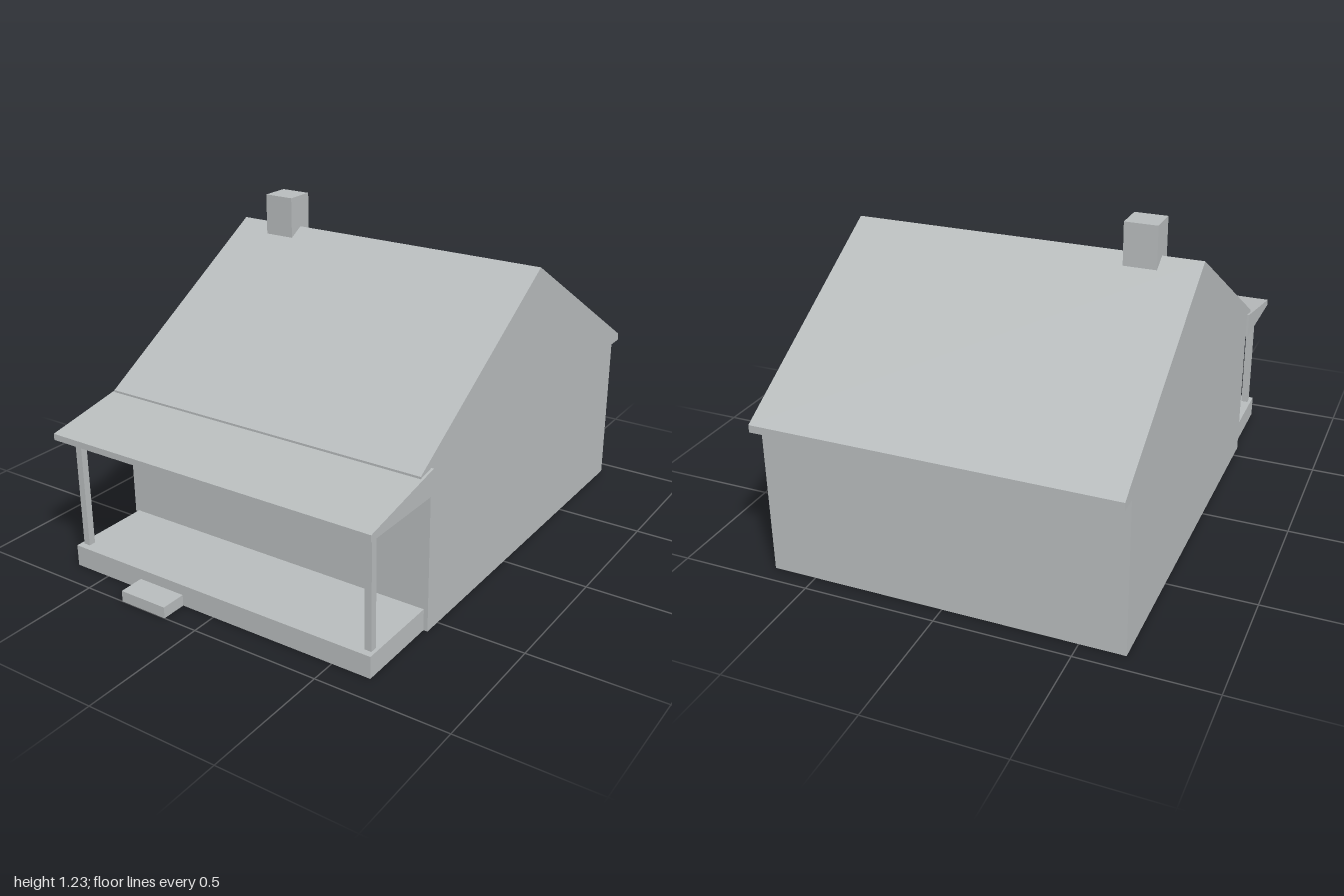
import * as THREE from 'three';

const grey = new THREE.MeshStandardMaterial({ color: 0xb8bcbd, side: THREE.DoubleSide });
grey.name = 'light grey';

// Removes the triangles lying flat at the lowest level, leaving a hollow shell
function openBottom(geometry) {
  const flat = geometry.index ? geometry.toNonIndexed() : geometry;
  flat.computeBoundingBox();
  const low = flat.boundingBox.min.y + 1e-5;
  const p = flat.attributes.position;
  const kept = [];
  for (let i = 0; i < p.count; i += 3) {
    if (Math.max(p.getY(i), p.getY(i + 1), p.getY(i + 2)) > low) {
      for (let k = i; k < i + 3; k++) kept.push(p.getX(k), p.getY(k), p.getZ(k));
    }
  }
  const shell = new THREE.BufferGeometry();
  shell.setAttribute('position', new THREE.Float32BufferAttribute(kept, 3));
  shell.computeVertexNormals();
  return shell;
}

// Box given by its limits on each axis
function box([x0, x1], [y0, y1], [z0, z1]) {
  return new THREE.BoxGeometry(x1 - x0, y1 - y0, z1 - z0)
    .translate((x0 + x1) / 2, (y0 + y1) / 2, (z0 + z1) / 2);
}

// Side profile of [z, y] points swept across the width
function sweep(profile, width) {
  const shape = new THREE.Shape(profile.map(([z, y]) => new THREE.Vector2(z, y)));
  return new THREE.ExtrudeGeometry(shape, { depth: width, bevelEnabled: false })
    .rotateY(-Math.PI / 2)
    .translate(width / 2, 0, 0);
}

export function createModel() {
  const house = new THREE.Group();
  house.name = 'house';
  const add = (name, geometry) => {
    const mesh = new THREE.Mesh(geometry, grey);
    mesh.name = name;
    house.add(mesh);
  };

  // Walls, gables, boxed eaves and main roof as one hollow shell
  add('houseShell', openBottom(sweep([
    [0.568, 0], [0.568, 0.585], [0.635, 0.585], [0.635, 0.613], [-0.185, 1.105],
    [-1, 0.615], [-1, 0.587], [-0.932, 0.587], [-0.932, 0],
  ], 1.332)));

  // Porch
  add('porchRoof', sweep([[0.568, 0.522], [0.94, 0.522], [0.94, 0.546], [0.568, 0.618]], 1.35));
  add('porchFloor', openBottom(box([-0.65, 0.65], [0, 0.083], [0.568, 0.902])));
  add('step', openBottom(box([-0.335, -0.137], [0, 0.043], [0.902, 1])));
  for (const [name, x] of [['leftPost', 0.624], ['rightPost', -0.624]]) {
    add(name, box([x - 0.0135, x + 0.0135], [0.083, 0.522], [0.85, 0.877]));
  }

  // Chimney straddling the ridge
  add('chimney', openBottom(box([-0.514, -0.391], [1.07, 1.23], [-0.242, -0.127])));

  return house;
}
